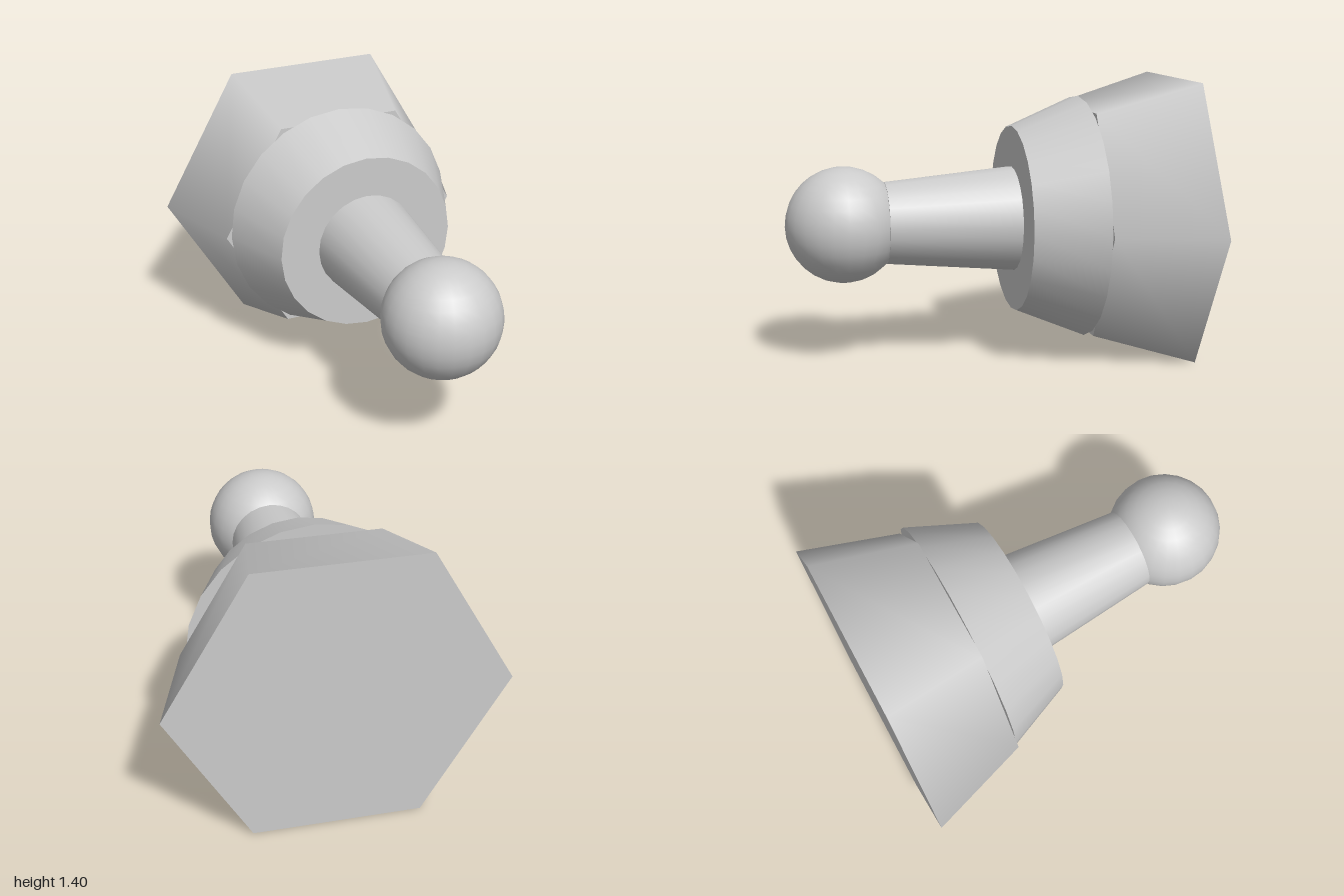
import * as THREE from 'three';

const AXIS_Y = 0.705; // height of the long axis

export function createModel() {
  const group = new THREE.Group();
  const material = new THREE.MeshStandardMaterial({ color: 0xcccccc });

  function add(name, geometry, z) {
    const mesh = new THREE.Mesh(geometry, material);
    mesh.name = name;
    mesh.position.set(0, AXIS_Y, z);
    group.add(mesh);
  }

  // Capped frustum lying along z, from zBack to zFront
  function frustum(name, rBack, rFront, zBack, zFront, sides) {
    const geometry = new THREE.CylinderGeometry(
      rFront, rBack, zFront - zBack, sides, 1, false, Math.PI / 2);
    geometry.rotateX(Math.PI / 2);
    add(name, geometry, (zBack + zFront) / 2);
  }

  // Hexagonal base, corners on the left and right
  frustum('hexBase', 0.81, 0.642, -1, -0.49, 6);
  // Round collar in front of the base
  frustum('collar', 0.615, 0.47, -0.49, -0.145, 24);
  // Tapered neck
  frustum('neck', 0.265, 0.205, -0.145, 0.505, 24);
  // Ball tip
  add('ball', new THREE.SphereGeometry(0.289, 24, 16), 0.711);

  return group;
}
